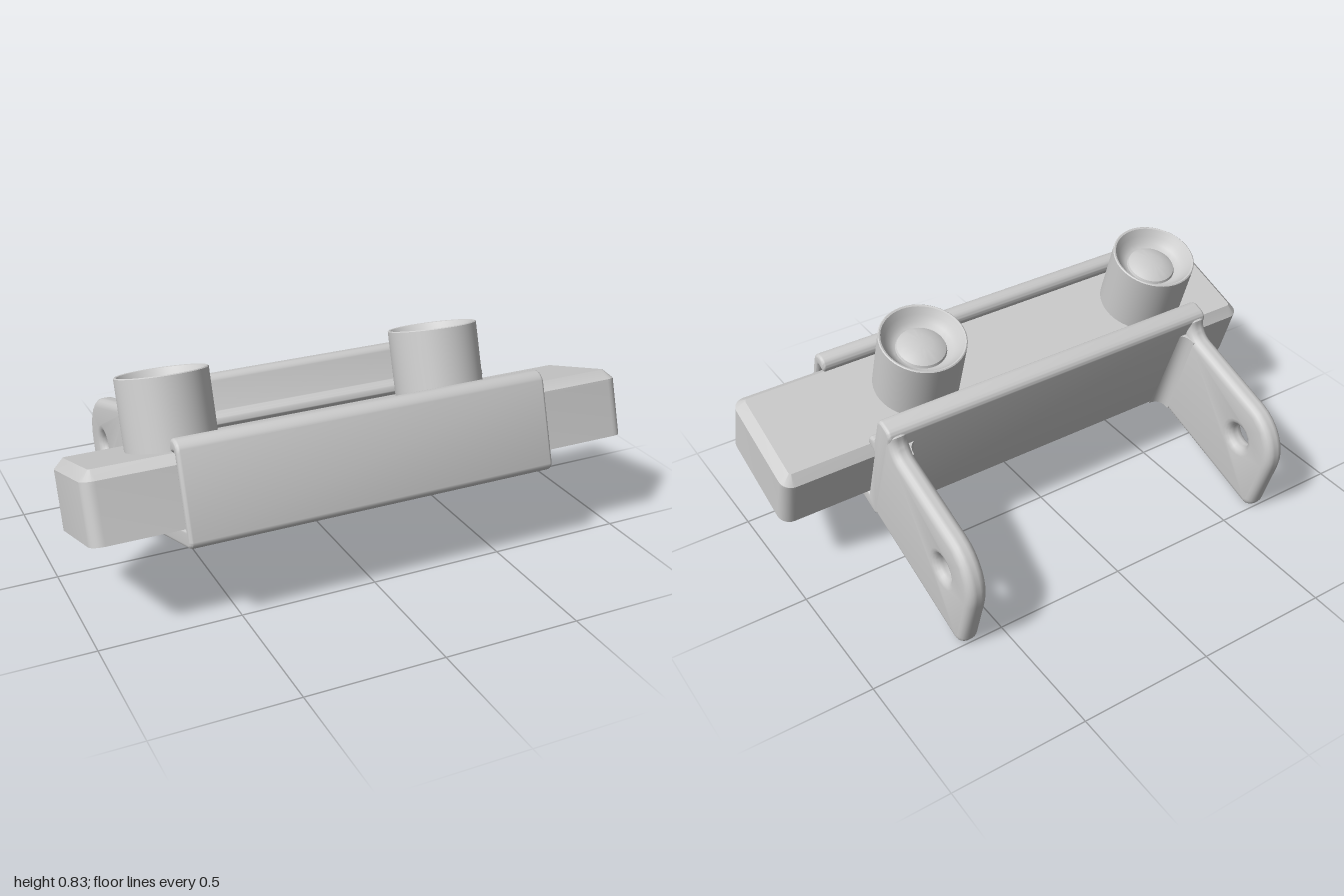
import * as THREE from 'three';
import { toCreasedNormals } from 'three/addons/utils/BufferGeometryUtils.js';

const grey = new THREE.MeshStandardMaterial({ color: 0xcccccc });
const TILT = THREE.MathUtils.degToRad(18);

function part(name, geometry, x = 0, y = 0, z = 0) {
  const mesh = new THREE.Mesh(geometry, grey);
  mesh.name = name;
  mesh.position.set(x, y, z);
  return mesh;
}

// Closed outline from [x, y, cornerRadius] points
function roundedOutline(points) {
  const shape = new THREE.Shape();
  const n = points.length;
  points.forEach(([x, y, r], i) => {
    const corner = new THREE.Vector2(x, y);
    const toward = ([px, py], d) =>
      corner.clone().add(new THREE.Vector2(px, py).sub(corner).setLength(d));
    const prev = points[(i + n - 1) % n], next = points[(i + 1) % n];
    const a = r ? toward(prev, r) : corner, b = r ? toward(next, r) : corner;
    if (i === 0) shape.moveTo(a.x, a.y);
    else shape.lineTo(a.x, a.y);
    if (r) {
      const c1 = toward(prev, r * 0.45), c2 = toward(next, r * 0.45);
      shape.bezierCurveTo(c1.x, c1.y, c2.x, c2.y, b.x, b.y);
    }
  });
  shape.closePath();
  return shape;
}

// Side profile (depth, height) swept across x, centred on x = 0, with rounded rims
function sweepAcross(shape, width, bevel) {
  const geometry = new THREE.ExtrudeGeometry(shape, {
    depth: width - 2 * bevel, curveSegments: 8,
    bevelThickness: bevel, bevelSize: bevel, bevelOffset: -bevel, bevelSegments: 4,
  });
  geometry.translate(0, 0, bevel - width / 2);
  geometry.rotateY(-Math.PI / 2);
  return toCreasedNormals(geometry, 0.6);
}

// Plan outline (x, -z) extruded upward
function extrudeUp(shape, depth, options = { bevelEnabled: false }) {
  const geometry = new THREE.ExtrudeGeometry(shape, { depth, curveSegments: 6, ...options });
  geometry.rotateX(-Math.PI / 2);
  return toCreasedNormals(geometry, 0.5);
}

export function createModel() {
  const model = new THREE.Group();
  model.name = 'sensorOnBracket';
  const tilted = new THREE.Group();
  tilted.name = 'tiltedAssembly';
  tilted.rotation.x = -TILT;
  model.add(tilted);

  const left = 0.665, right = -0.695, middle = (left + right) / 2;

  // Bracket channel: floor, thin front wall and thick back wall with clip lips
  const channel = roundedOutline([
    [0.118, 0.147, 0.03], [0.655, 0.147, 0.03], [0.655, 0.505, 0.045],
    [0.577, 0.505, 0.03], [0.577, 0.455, 0.012], [0.62, 0.462, 0.012],
    [0.62, 0.21, 0], [0.195, 0.21, 0], [0.195, 0.455, 0.01],
    [0.243, 0.46, 0.014], [0.238, 0.503, 0.02], [0.205, 0.503, 0.015],
    [0.202, 0.64, 0.03], [0.112, 0.64, 0.03],
  ]);
  tilted.add(part('bracketChannel', sweepAcross(channel, left - right, 0.012), middle));

  // Mounting ears with a screw hole
  const earShape = roundedOutline([
    [0.165, 0.147, 0], [0.165, 0.625, 0], [0.108, 0.625, 0], [0.09, 0.571, 0.045],
    [-0.467, 0.571, 0.178], [-0.473, 0.147, 0.045],
  ]);
  const hole = new THREE.Path();
  hole.absarc(-0.289, 0.393, 0.047, 0, Math.PI * 2, true);
  earShape.holes.push(hole);
  const earThickness = 0.075;
  const earGeometry = sweepAcross(earShape, earThickness, 0.03);

  // Concave fillet where each ear meets the back wall
  const filletShape = new THREE.Shape();
  filletShape.moveTo(-0.02, -0.02);
  filletShape.lineTo(0.055, -0.02);
  filletShape.lineTo(0.055, 0);
  filletShape.quadraticCurveTo(0, 0, 0, 0.055);
  filletShape.lineTo(-0.02, 0.055);
  filletShape.closePath();
  const filletGeometry = extrudeUp(filletShape, 0.4);

  for (const [side, edge, inward] of [['left', left, -1], ['right', right, 1]]) {
    tilted.add(part(side + 'Ear', earGeometry, edge + inward * earThickness / 2));
    const fillet = part(side + 'EarFillet', filletGeometry,
      edge + inward * earThickness, 0.16, 0.118);
    if (inward < 0) {
      // A quarter turn swaps the two legs, mirroring the fillet
      fillet.rotation.y = Math.PI / 2;
    }
    tilted.add(fillet);
  }

  // Sensor housing: straight body with a chamfered lid
  const hx = 1, hz = 0.211, chamfer = 0.034;
  const plan = roundedOutline([
    [-hx, -hz, 0.045], [hx, -hz, 0.045], [hx, hz, 0.045], [-hx, hz, 0.045],
  ]);
  tilted.add(part('housingBody', extrudeUp(plan, 0.207), 0, 0.212, 0.408));
  tilted.add(part('housingLid', extrudeUp(plan, 0.01, {
    bevelThickness: chamfer, bevelSize: chamfer, bevelOffset: -chamfer, bevelSegments: 1,
  }), 0, 0.411, 0.408));

  // Two round transducers with a flared mouth and a domed centre
  const profile = [
    [0.158, 0.43], [0.158, 0.698], [0.154, 0.701], [0.148, 0.699], [0.132, 0.675],
    [0.115, 0.655], [0.1, 0.645], [0.092, 0.643], [0.088, 0.652], [0.07, 0.662],
    [0.04, 0.67], [0, 0.673],
  ].map(([r, y]) => new THREE.Vector2(r, y));
  const transducer = toCreasedNormals(new THREE.LatheGeometry(profile, 48), 0.6);
  for (const [side, x] of [['right', -0.635], ['left', 0.38]]) {
    tilted.add(part(side + 'Transducer', transducer, x, 0, 0.406));
  }

  return model;
}
